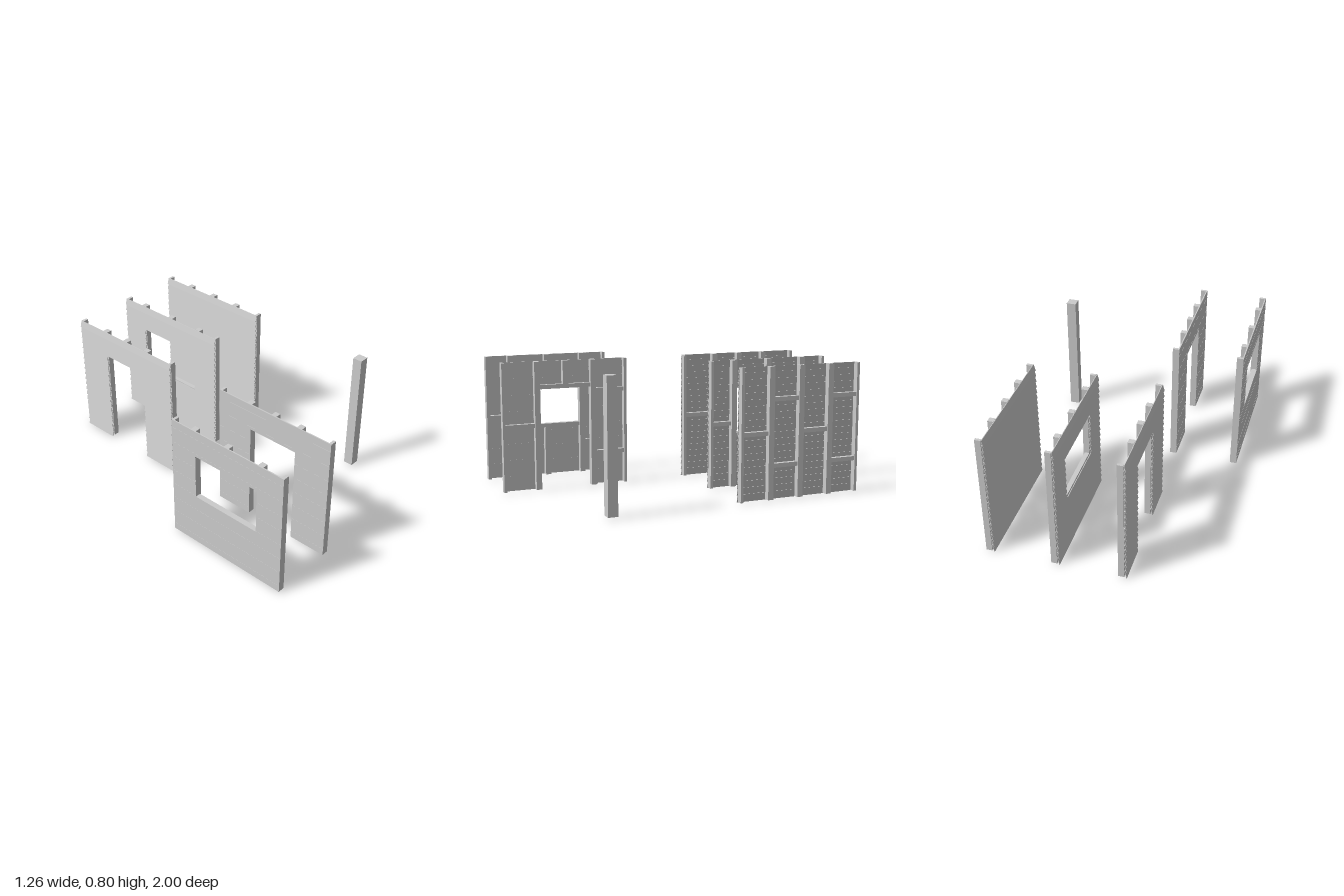
import * as THREE from 'three';

const mat = new THREE.MeshStandardMaterial({ color: 0xcccccc, flatShading: true });
const TOP = 0.8, BASE = 0.006, STUD = 0.035, NOG = 0.026, HALF = 0.4;

// box given by its limits on each axis
function bar(parent, name, x0, x1, y0, y1, z0, z1) {
  const mesh = new THREE.Mesh(new THREE.BoxGeometry(x1 - x0, y1 - y0, z1 - z0), mat);
  mesh.position.set((x0 + x1) / 2, (y0 + y1) / 2, (z0 + z1) / 2);
  mesh.name = name;
  parent.add(mesh);
}

// horizontal cladding board; outer face leans from xa at y0 to xb at y1, clipped to [c0, c1]
function board(parent, r, c0, c1, z0, z1) {
  const a = Math.max(r.y0, c0), b = Math.min(r.y1, c1);
  if (b - a < 0.002) return;
  const at = y => r.xa + (r.xb - r.xa) * (y - r.y0) / (r.y1 - r.y0);
  const shape = new THREE.Shape([
    new THREE.Vector2(at(a), a), new THREE.Vector2(at(a) + r.t, a),
    new THREE.Vector2(at(b) + r.t, b), new THREE.Vector2(at(b), b)
  ]);
  const geo = new THREE.ExtrudeGeometry(shape, { depth: z1 - z0, bevelEnabled: false });
  geo.translate(0, 0, z0);
  const mesh = new THREE.Mesh(geo, mat);
  mesh.name = 'claddingBoard';
  parent.add(mesh);
}

function claddingRows(lapped) {
  const rows = [], n = lapped ? 20 : 16, pitch = TOP / n;
  for (let i = 0; i < n; i++) {
    const y0 = i * pitch, y1 = Math.min(TOP, y0 + pitch + (lapped ? 0.008 : 0));
    if (lapped) rows.push({ y0, y1, xa: -0.04, xb: -0.029, t: 0.004 });
    else rows.push({ y0: Math.max(y0, BASE), y1, xa: -0.03 + (i % 2) * 0.0008, xb: -0.03 + (i % 2) * 0.0008, t: 0.007 });
  }
  return rows;
}

// one wall panel: inner studs at +-s and 0, opening (if any) from lo to hi between the side studs
function makeWall(name, lapped, s, opening) {
  const wall = new THREE.Group();
  wall.name = name;
  const stud = (z0, z1, y0 = BASE, y1 = TOP) => bar(wall, 'stud', -0.024, 0.012, y0, y1, z0, z1);
  const nog = (y, z0, z1, label = 'nogging') =>
    bar(wall, label, -0.024, 0.004, y - NOG / 2, y + NOG / 2, z0, z1);
  const h = STUD / 2, e = s - h;

  // half studs at the ends, full studs inside
  stud(-HALF, -HALF + h);
  stud(HALF - h, HALF);
  stud(-s - h, -s + h);
  stud(s - h, s + h);

  // side bays: one brace at +z, two at -z
  nog(0.407, s + h, HALF - h);
  for (const y of [0.21, 0.607]) nog(y, -HALF + h, -s - h);

  if (!opening) {
    stud(-h, h);
    nog(0.407, -e, -h);
    for (const y of [0.21, 0.607]) nog(y, h, e);
  } else {
    // lintel, sill and short middle studs
    nog(opening.hi + NOG / 2, -e, e, 'lintel');
    stud(-h, h, opening.hi + NOG, TOP);
    if (opening.lo > 0) {
      nog(opening.lo - NOG / 2, -e, e, 'sill');
      stud(-h, h, BASE, opening.lo - NOG);
    }
  }

  // cladding on the outer face
  for (const r of claddingRows(lapped)) {
    if (!opening || r.y1 <= opening.lo || r.y0 >= opening.hi) {
      board(wall, r, 0, TOP, -HALF, HALF);
      continue;
    }
    board(wall, r, 0, TOP, -HALF, -e);
    board(wall, r, 0, TOP, e, HALF);
    board(wall, r, 0, opening.lo, -e, e);
    board(wall, r, opening.hi, TOP, -e, e);
  }
  return wall;
}

export function createModel() {
  const model = new THREE.Group();
  model.name = 'wallKit';
  const windowGap = { lo: 0.345, hi: 0.63 }, doorGap = { lo: 0, hi: 0.63 };

  const walls = [
    ['flatWindowWall', false, 0.24, windowGap, -0.6, 0.6],
    ['flatDoorWall', false, 0.18, doorGap, -0.2, 0.6],
    ['lappedDoorWall', true, 0.18, doorGap, -0.2, -0.6],
    ['lappedWindowWall', true, 0.24, windowGap, 0.2, -0.6],
    ['lappedPlainWall', true, 0.2, null, 0.6, -0.6]
  ];
  for (const [name, lapped, s, gap, x, z] of walls) {
    const wall = makeWall(name, lapped, s, gap);
    wall.position.set(x, 0, z);
    model.add(wall);
  }

  // free-standing corner post
  bar(model, 'cornerPost', 0.567, 0.628, 0.012, TOP, 0.57, 0.63);
  return model;
}
